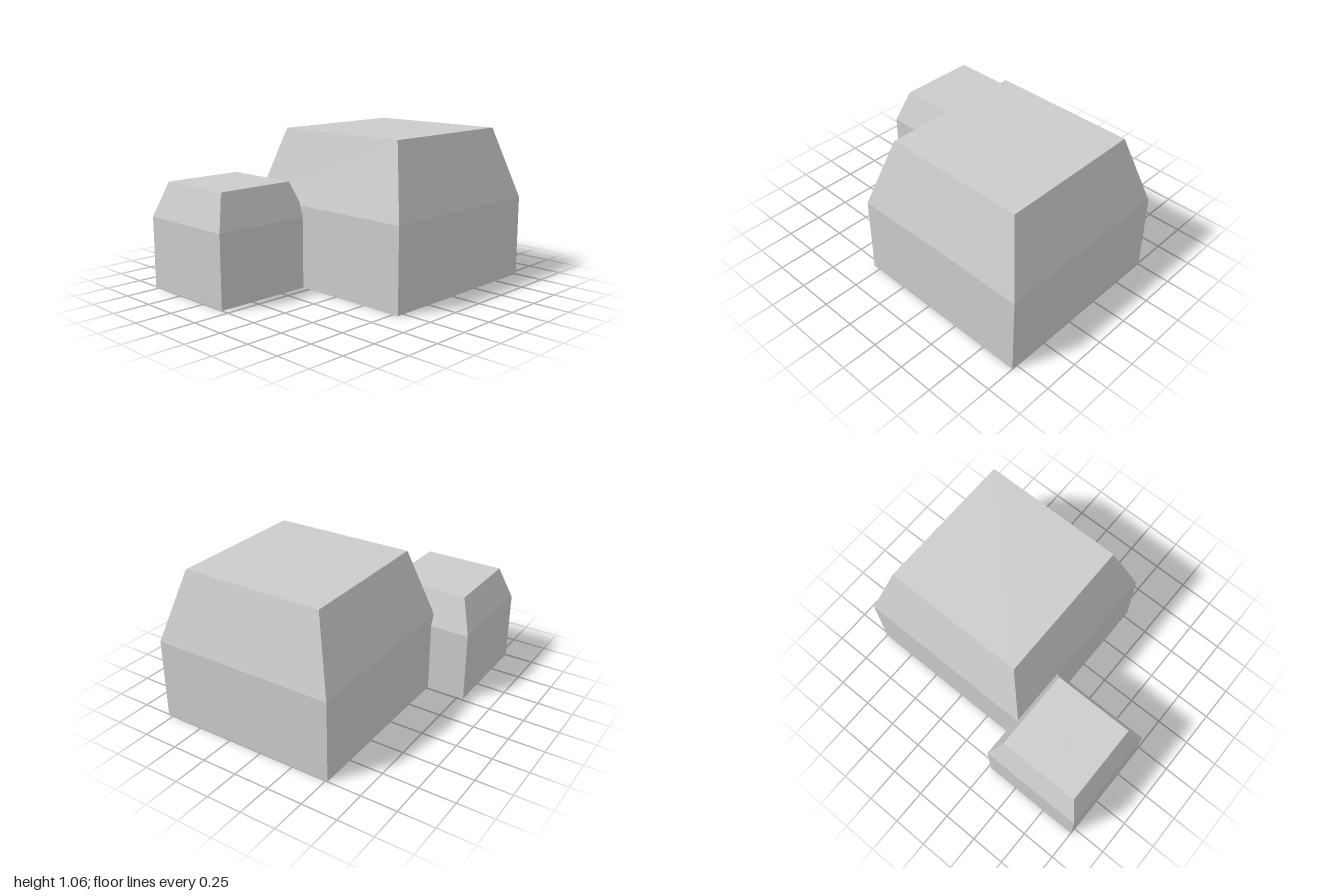
import * as THREE from 'three';

const material = new THREE.MeshStandardMaterial({ color: 0xcccccc, flatShading: true });

// Square block with upright walls up to the shoulder, then tapering in to a flat top
function taperedBlock(name, { x, z, width, shoulder, height, topWidth }) {
  const geometry = new THREE.BoxGeometry(width, height, width, 1, 2, 1);
  geometry.translate(0, height / 2, 0);
  const p = geometry.attributes.position;
  const taper = topWidth / width;
  for (let i = 0; i < p.count; i++) {
    const y = p.getY(i);
    if (y > height * 0.75) {
      p.setX(i, p.getX(i) * taper);
      p.setZ(i, p.getZ(i) * taper);
    } else if (y > height * 0.25) {
      p.setY(i, shoulder);
    }
  }
  geometry.computeVertexNormals();
  const mesh = new THREE.Mesh(geometry, material);
  mesh.name = name;
  mesh.position.set(x, 0, z);
  return mesh;
}

export function createModel() {
  const group = new THREE.Group();
  group.name = 'taperedBlocks';
  group.add(
    taperedBlock('largeBlock', {
      x: 0.138, z: -0.348, width: 1.304, shoulder: 0.568, height: 1.06, topWidth: 1.012,
    }),
    taperedBlock('smallBlock', {
      x: -0.426, z: 0.634, width: 0.732, shoulder: 0.494, height: 0.732, topWidth: 0.568,
    }),
  );
  return group;
}
